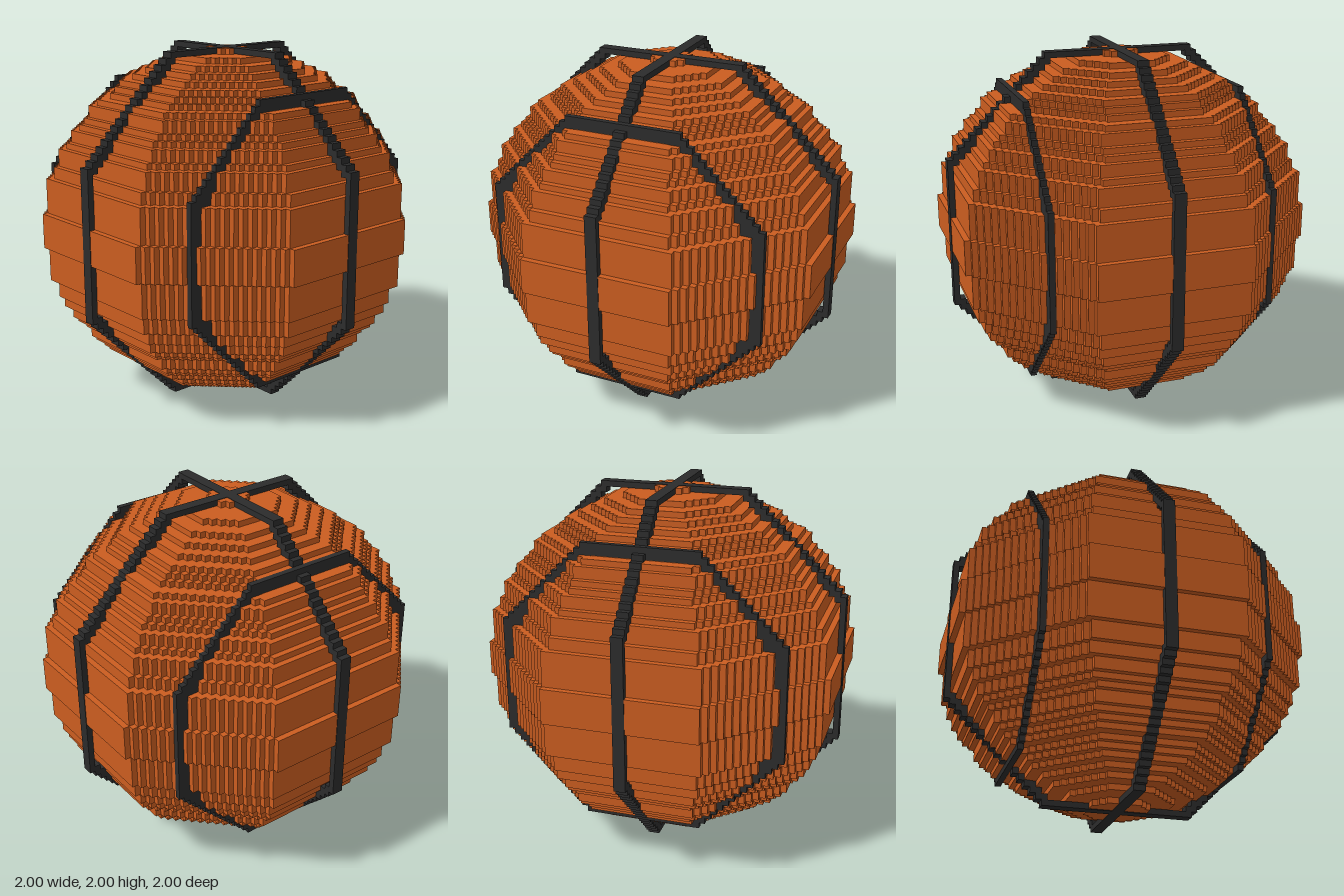
import * as THREE from 'three';
import { mergeGeometries } from 'three/addons/utils/BufferGeometryUtils.js';

const U = 1 / 30; // size of one block

// Stair-stepped octagon: half size r, half length of the flat sides m (in blocks)
function stairPoints(r, m) {
  const quarter = [];
  for (let i = 0; i <= r - m; i++) {
    quarter.push([r - i, m + i]);
    if (i < r - m) quarter.push([r - i - 1, m + i]);
  }
  const points = [];
  for (let q = 0; q < 4; q++) {
    for (const [x, y] of quarter) {
      const [a, b] = [[x, y], [-y, x], [-x, -y], [y, -x]][q];
      points.push(new THREE.Vector2(a * U, b * U));
    }
  }
  return points;
}

function extrude(shape, depth) {
  return new THREE.ExtrudeGeometry(shape, { depth: depth * U, bevelEnabled: false });
}

// Octagonal band lying in the xy plane, centred on z = 0
function seamGeometry(r, m, thick, width) {
  const shape = new THREE.Shape(stairPoints(r, m));
  shape.holes.push(new THREE.Path(stairPoints(r - thick, m - thick)));
  return extrude(shape, width).translate(0, 0, -width * U / 2);
}

// Half size of the ball at block layer k (-30 to 29)
function layerRadius(k) {
  const d = Math.abs(k + 0.6);
  if (d < 3) return 30;
  return Math.min(29, Math.round(Math.sqrt(29.8 * 29.8 - d * d)));
}

export function createModel() {
  const model = new THREE.Group();
  model.name = 'ball';
  const orange = new THREE.MeshStandardMaterial({ color: 0xcb5d20 });
  orange.name = 'orange';
  const black = new THREE.MeshStandardMaterial({ color: 0x2c2c2c });
  black.name = 'charcoal';

  // Ball: stacked stepped octagons, equal neighbouring layers joined
  const layers = [];
  for (let k = -30; k < 30;) {
    const r = layerRadius(k);
    let end = k + 1;
    while (end < 30 && layerRadius(end) === r) end++;
    const shape = new THREE.Shape(stairPoints(r, Math.ceil(r * 0.414)));
    layers.push(extrude(shape, end - k).rotateX(-Math.PI / 2).translate(0, k * U, 0));
    k = end;
  }
  const body = new THREE.Mesh(mergeGeometries(layers), orange);
  body.name = 'ballBody';
  body.scale.setScalar(0.997); // keeps the seams just proud of the surface
  body.position.y = 1;
  model.add(body);

  // Seams: two full bands crossing at the poles, two smaller side bands
  const addSeam = (name, geometry, x, turn) => {
    const seam = new THREE.Mesh(geometry, black);
    seam.name = name;
    seam.position.set(x, 1, 0);
    seam.rotation.y = turn;
    model.add(seam);
  };
  const fullSeam = seamGeometry(30, 13, 1, 2);
  addSeam('crossSeam', fullSeam, 0, 0);
  addSeam('middleSeam', fullSeam, 0, Math.PI / 2);
  const sideSeam = seamGeometry(24, 10, 2, 1);
  addSeam('leftSeam', sideSeam, 18.5 * U, Math.PI / 2);
  addSeam('rightSeam', sideSeam, -18.5 * U, Math.PI / 2);
  return model;
}
